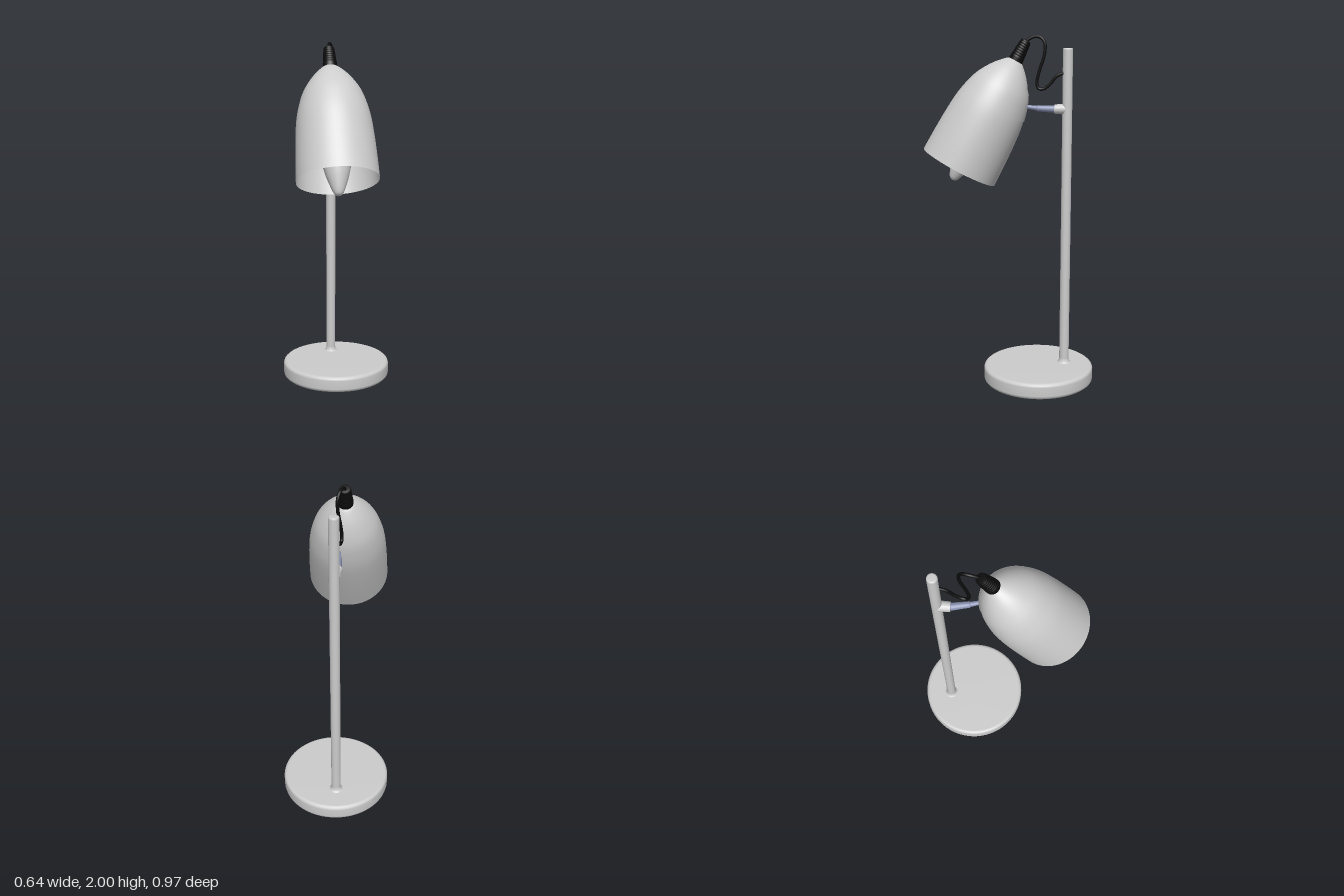
import * as THREE from 'three';

const mat = (name, color, side = THREE.FrontSide) => {
  const m = new THREE.MeshStandardMaterial({ color, side });
  m.name = name;
  return m;
};
const V = (x, y, z) => new THREE.Vector3(x, y, z);

export function createModel() {
  const lamp = new THREE.Group();
  lamp.name = 'deskLamp';
  const paint = mat('lightGrey', 0xcccccc, THREE.DoubleSide);
  const black = mat('black', 0x0c0c0c);
  const steel = mat('blueSteel', 0x8a92b2);

  const add = (parent, name, geometry, material) => {
    const m = new THREE.Mesh(geometry, material);
    m.name = name;
    parent.add(m);
    return m;
  };
  // Profile points are [radius, y], listed from bottom to top
  const lathe = (pts, seg = 48, start = 0, len = Math.PI * 2) =>
    new THREE.LatheGeometry(pts.map(([r, y]) => new THREE.Vector2(r, y)), seg, start, len);
  const smooth = (pts, n) =>
    new THREE.SplineCurve(pts.map(([r, y]) => new THREE.Vector2(r, y))).getPoints(n).map(p => [Math.max(p.x, 0), p.y]);
  // Tapered rod between two points
  const rod = (parent, name, a, b, ra, rb, material) => {
    const m = add(parent, name, new THREE.CylinderGeometry(rb, ra, a.distanceTo(b), 20), material);
    m.position.copy(a).lerp(b, 0.5);
    m.quaternion.setFromUnitVectors(V(0, 1, 0), b.clone().sub(a).normalize());
    return m;
  };

  // Round base with softened edges
  const base = add(lamp, 'base', lathe([
    [0, 0], [0.295, 0], [0.308, 0.003], [0.317, 0.011], [0.32, 0.022],
    [0.32, 0.074], [0.317, 0.084], [0.31, 0.091], [0.298, 0.095], [0, 0.095],
  ], 64), paint);
  base.position.set(0, 0, -0.165);

  // Pole with a small flared foot and rounded top
  const pole = add(lamp, 'pole', lathe([
    [0.045, 0.093], [0.036, 0.098], [0.03, 0.107], [0.028, 0.12], [0.028, 0.121],
    [0.028, 1.918], [0.027, 1.924], [0.023, 1.928], [0.018, 1.929], [0, 1.929],
  ], 32), paint);
  pole.position.set(-0.06, 0, -0.308);

  // Joint and arm holding the shade
  const joint = V(-0.06, 1.592, -0.3), jointEnd = V(-0.05, 1.592, -0.237);
  const knuckle = V(-0.02, 1.597, -0.15), armEnd = V(0.004, 1.607, -0.085);
  rod(lamp, 'poleJoint', joint, jointEnd, 0.029, 0.027, paint);
  rod(lamp, 'arm', jointEnd, knuckle, 0.021, 0.017, steel);
  rod(lamp, 'armTip', knuckle, armEnd, 0.014, 0.011, steel);
  add(lamp, 'armKnuckle', new THREE.SphereGeometry(0.0175, 20, 14), steel).position.copy(knuckle);

  // Tilted head: local -y runs along the shade axis from its apex
  const head = new THREE.Group();
  head.name = 'lampHead';
  head.position.set(-0.01, 1.866, -0.026);
  head.quaternion.setFromUnitVectors(V(0, -1, 0), V(0.15, -0.88, 0.45).normalize());
  lamp.add(head);

  const shadeProfile = smooth([
    [0.226, -0.68], [0.222, -0.55], [0.215, -0.42], [0.205, -0.32], [0.188, -0.24],
    [0.167, -0.175], [0.138, -0.12], [0.103, -0.07], [0.064, -0.028], [0.035, -0.006], [0, 0],
  ], 50);
  add(head, 'shade', lathe(shadeProfile, 64), paint);

  // Curved mounting plate on the back of the shade
  const plate = shadeProfile.filter(([, y]) => y > -0.29 && y < -0.12).map(([r, y]) => [r + 0.004, y + 0.002]);
  add(head, 'mountingPlate', lathe(plate, 12, Math.PI - 0.4, 0.8), paint);

  // Candle-shaped bulb and its socket
  add(head, 'bulb', lathe(smooth([
    [0, -0.766], [0.019, -0.758], [0.033, -0.735], [0.05, -0.69], [0.066, -0.64],
    [0.08, -0.575], [0.083, -0.5], [0.068, -0.42], [0.045, -0.34],
  ], 30), 40), paint);
  add(head, 'socket', lathe([[0.045, -0.345], [0.045, -0.05]], 32), paint);

  // Ribbed cable grip
  const grip = [[0.04, -0.03]];
  for (let i = 0; i < 7; i++) {
    const y = 0.01 + i * 0.014, r = 0.04 - i * 0.0014;
    grip.push([r, y], [r, y + 0.009], [r - 0.003, y + 0.01], [r - 0.003, y + 0.0135]);
  }
  grip.push([0.029, 0.112], [0.025, 0.116], [0, 0.116]);
  add(head, 'cableGrip', lathe(grip, 28), black);

  // Cable looping from the grip into the pole
  const cable = new THREE.CatmullRomCurve3([
    V(-0.025, 1.955, -0.072), V(-0.03, 1.978, -0.095), V(-0.034, 1.991, -0.13), V(-0.032, 1.984, -0.162),
    V(-0.03, 1.955, -0.183), V(-0.03, 1.89, -0.181), V(-0.032, 1.8, -0.152), V(-0.034, 1.735, -0.139),
    V(-0.036, 1.705, -0.15), V(-0.038, 1.705, -0.178), V(-0.041, 1.735, -0.215),
    V(-0.044, 1.775, -0.25), V(-0.05, 1.795, -0.295),
  ]);
  add(lamp, 'cable', new THREE.TubeGeometry(cable, 90, 0.009, 12), black);

  return lamp;
}
